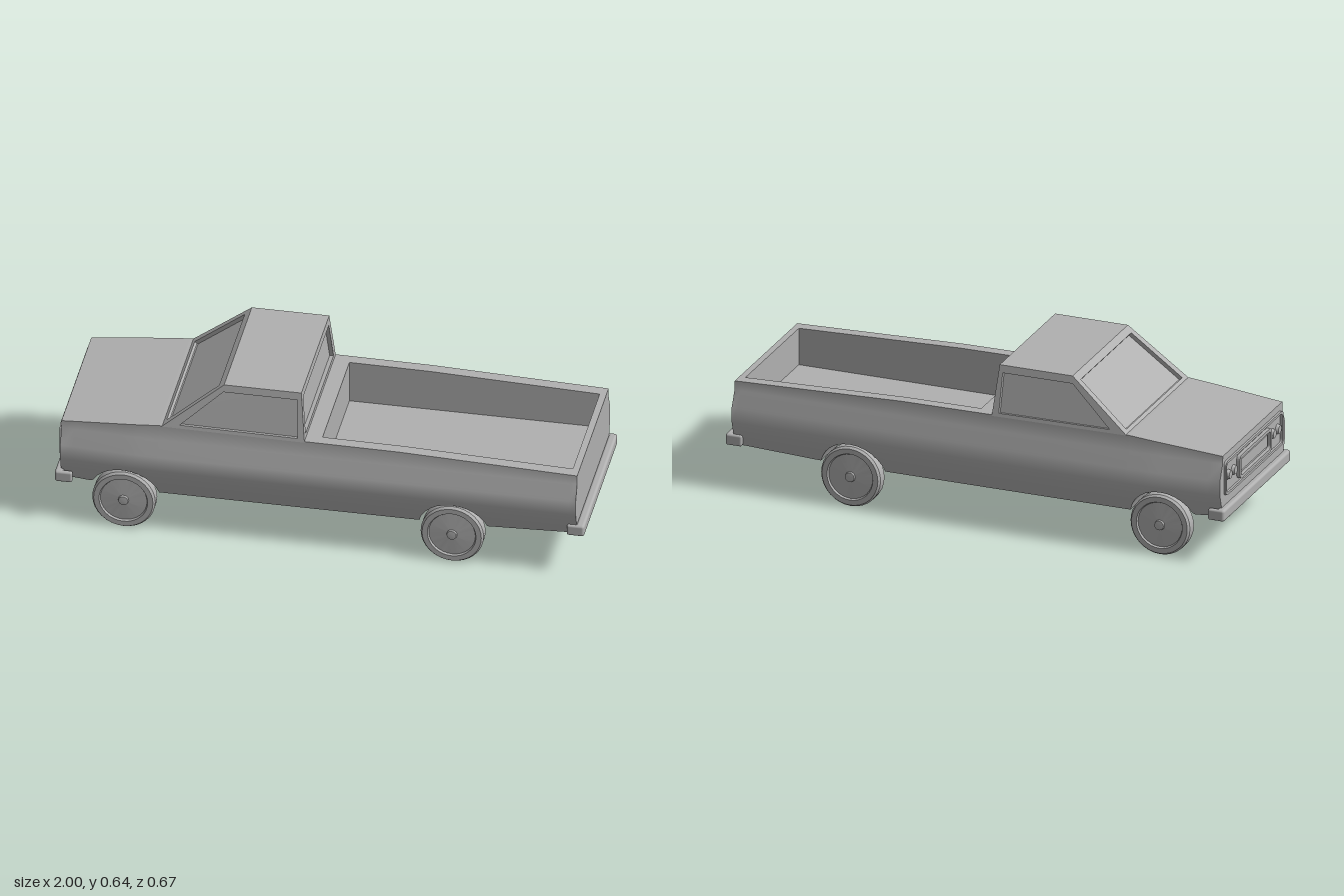
import * as THREE from 'three';
import { toCreasedNormals } from 'three/addons/utils/BufferGeometryUtils.js';
import { RoundedBoxGeometry } from 'three/addons/geometries/RoundedBoxGeometry.js';

const paint = new THREE.MeshStandardMaterial({ color: 0xb0b0b0, side: THREE.DoubleSide });
paint.name = 'plain grey';

// piecewise linear lookup in [[key, value], ...]
function lerpTable(table, k) {
  if (k <= table[0][0]) return table[0][1];
  for (let i = 1; i < table.length; i++) {
    const [a, va] = table[i - 1], [b, vb] = table[i];
    if (k <= b) return va + (vb - va) * (k - a) / (b - a);
  }
  return table[table.length - 1][1];
}

function mesh(name, geometry, x = 0, y = 0, z = 0) {
  const m = new THREE.Mesh(geometry, paint);
  m.name = name;
  m.position.set(x, y, z);
  return m;
}

function fromTriangles(points, index, crease) {
  const g = new THREE.BufferGeometry();
  g.setAttribute('position', new THREE.Float32BufferAttribute(points.flat(), 3));
  g.setIndex(index);
  return toCreasedNormals(g, crease);
}

const AXLES = [-0.74, 0.5], WHEEL_Y = 0.12, ARCH = 0.132;
const BED = [0.0, 0.945], BED_FLOOR = 0.28;
const topLine = [[-0.98, 0.42], [-0.6, 0.453], [0.3, 0.447], [0.97, 0.425]];
const sill = [[-0.98, 0.18], [-0.86, 0.17], [-0.6, 0.15], [0.36, 0.15], [0.63, 0.155], [0.97, 0.172]];
const sideWidth = [[0.15, 0.292], [0.22, 0.318], [0.27, 0.334], [0.33, 0.334], [0.39, 0.306], [0.45, 0.304]];
const plan = [[-0.98, 0.95], [-0.7, 0.995], [-0.6, 1], [0.97, 1]];

// body lofted along x, with wheel tunnels below and the open bed above
function bodyGeometry() {
  const stations = [[-0.98], [-0.93], [-0.3], [-0.06], [BED[0]], [BED[0], true], [0.2], [0.3], [0.75], [BED[1], true], [BED[1]], [0.97]];
  for (const c of AXLES) {
    for (let i = 0; i <= 14; i++) stations.push([c - ARCH * Math.cos(Math.PI * i / 14)]);
  }
  stations.forEach((s, i) => {
    s[2] = i;
    if (s[1] === undefined) s[1] = s[0] > BED[0] && s[0] < BED[1];
  });
  stations.sort((a, b) => a[0] - b[0] || a[2] - b[2]);
  const pts = [], index = [];
  for (const [x, open] of stations) {
    const top = lerpTable(topLine, x), k = lerpTable(plan, x);
    let low = lerpTable(sill, x);
    for (const c of AXLES) {
      const d = ARCH * ARCH - (x - c) ** 2;
      if (d > 0) low = Math.max(low, WHEEL_Y + Math.sqrt(d));
    }
    const half = [0.15, 0.22, 0.27, 0.33, 0.39, 0.5].map(y => {
      const yy = Math.min(top, Math.max(low, y));
      return [yy, lerpTable(sideWidth, yy) * k];
    });
    half.push([top, 0.26], [open ? BED_FLOOR : top, 0.26]);
    half.forEach(([y, z]) => pts.push([x, y, z]));
    half.reverse().forEach(([y, z]) => pts.push([x, y, -z]));
  }
  const n = 16, rows = stations.length;
  for (let i = 0; i < rows - 1; i++) {
    for (let j = 0; j < n; j++) {
      const a = i * n + j, d = i * n + (j + 1) % n;
      index.push(a, a + n, d + n, a, d + n, d);
    }
  }
  const last = (rows - 1) * n;
  for (let j = 1; j < n - 1; j++) index.push(0, j, j + 1, last, last + j + 1, last + j);
  return fromTriangles(pts, index, 0.6);
}

// four-sided panel with a recessed pane; corners run anticlockwise from outside
function windowPanel(corners, [left, right, bottom, top], depth) {
  const c = corners.map(p => new THREE.Vector3(...p));
  const at = (u, v) => c[0].clone().lerp(c[1], u).lerp(c[3].clone().lerp(c[2], u), v);
  const inner = [at(left, bottom), at(1 - right, bottom), at(1 - right, 1 - top), at(left, 1 - top)];
  const normal = c[1].clone().sub(c[0]).cross(c[3].clone().sub(c[0])).normalize();
  const pane = inner.map(p => p.clone().addScaledVector(normal, -depth));
  const index = [8, 9, 10, 8, 10, 11];
  for (const r of [0, 4]) {
    for (let i = 0; i < 4; i++) {
      const a = r + i, b = r + (i + 1) % 4;
      index.push(a, b, b + 4, a, b + 4, a + 4);
    }
  }
  return fromTriangles([...c, ...inner, ...pane].map(p => p.toArray()), index, 0.4);
}

function cab() {
  const g = new THREE.Group();
  g.name = 'cab';
  // key points: front base, front roof, rear roof, rear base
  const [fb, fr, rr, rb] = [[-0.6, 0.45, 0.305], [-0.37, 0.64, 0.27], [-0.078, 0.64, 0.27], [-0.06, 0.445, 0.305]];
  const m = ([x, y, z]) => [x, y, -z];
  g.add(mesh('leftDoorWindow', windowPanel([fb, rb, rr, fr], [0.1, 0.05, 0.07, 0.15], 0.015)));
  g.add(mesh('rightDoorWindow', windowPanel([m(rb), m(fb), m(fr), m(rr)], [0.05, 0.1, 0.07, 0.15], 0.015)));
  g.add(mesh('windshield', windowPanel([m(fb), fb, fr, m(fr)], [0.05, 0.05, 0.06, 0.1], 0.015)));
  g.add(mesh('rearWindow', windowPanel([rb, m(rb), m(rr), rr], [0.05, 0.05, 0.1, 0.15], 0.015)));
  g.add(mesh('roof', fromTriangles([fr, rr, m(rr), m(fr)], [0, 1, 2, 0, 2, 3], 0.4)));
  return g;
}

// tyre, sunken disc and hub, domed on the inner side
function wheelGeometry() {
  const profile = [[0, -0.042], [0.05, -0.038], [0.095, -0.03], [0.112, -0.028], [0.119, -0.018], [0.119, 0.02],
    [0.112, 0.03], [0.092, 0.03], [0.088, 0.022], [0.02, 0.026], [0.018, 0.034], [0, 0.036]];
  const g = new THREE.LatheGeometry(profile.map(p => new THREE.Vector2(...p)), 32);
  g.rotateX(Math.PI / 2);
  return toCreasedNormals(g, 0.6);
}

// flat ring with rounded corners, facing the front of the truck (-x)
function roundedPath(target, w, h, r) {
  target.moveTo(-w + r, -h);
  target.lineTo(w - r, -h).quadraticCurveTo(w, -h, w, -h + r);
  target.lineTo(w, h - r).quadraticCurveTo(w, h, w - r, h);
  target.lineTo(-w + r, h).quadraticCurveTo(-w, h, -w, h - r);
  target.lineTo(-w, -h + r).quadraticCurveTo(-w, -h, -w + r, -h);
  return target;
}
function frameGeometry(w, h, t, depth) {
  const shape = roundedPath(new THREE.Shape(), w, h, 0.02);
  shape.holes.push(roundedPath(new THREE.Path(), w - t, h - t, 0.014));
  return new THREE.ExtrudeGeometry(shape, { depth, bevelEnabled: false, curveSegments: 5 }).rotateY(-Math.PI / 2);
}

function frontEnd() {
  const g = new THREE.Group();
  g.name = 'frontEnd';
  g.add(mesh('grilleSurround', frameGeometry(0.28, 0.068, 0.01, 0.01), -0.979, 0.325, 0));
  g.add(mesh('grilleFrame', frameGeometry(0.155, 0.047, 0.012, 0.015), -0.979, 0.325, 0));
  g.add(mesh('grilleInsert', new THREE.BoxGeometry(0.008, 0.045, 0.26), -0.982, 0.325, 0));
  for (const z of [-0.24, -0.19, 0.19, 0.24]) {
    const lamp = new THREE.CylinderGeometry(0.016, 0.02, 0.014, 20).rotateZ(Math.PI / 2);
    g.add(mesh('headlight', toCreasedNormals(lamp, 0.6), -0.985, 0.33, z));
  }
  return g;
}

export function createModel() {
  const truck = new THREE.Group();
  truck.name = 'pickupTruck';
  truck.add(mesh('body', bodyGeometry()), cab(), frontEnd());

  // bumpers with ends wrapping round the corners
  for (const [name, s, y] of [['frontBumper', -1, 0.195], ['rearBumper', 1, 0.195]]) {
    const b = new THREE.Group();
    b.name = name;
    b.add(mesh('bumperBar', new RoundedBoxGeometry(0.032, 0.046, 0.654, 3, 0.01), s * 0.984, y, 0));
    for (const z of [-0.317, 0.317]) {
      b.add(mesh('bumperEnd', new RoundedBoxGeometry(0.064, 0.044, 0.02, 3, 0.008), s * 0.966, y, z));
    }
    truck.add(b);
  }

  const wheel = wheelGeometry();
  for (const x of AXLES) {
    for (const s of [-1, 1]) {
      const w = mesh(x < 0 ? 'frontWheel' : 'rearWheel', wheel, x, WHEEL_Y, s * 0.295);
      if (s < 0) w.rotation.y = Math.PI;
      truck.add(w);
    }
  }
  return truck;
}
